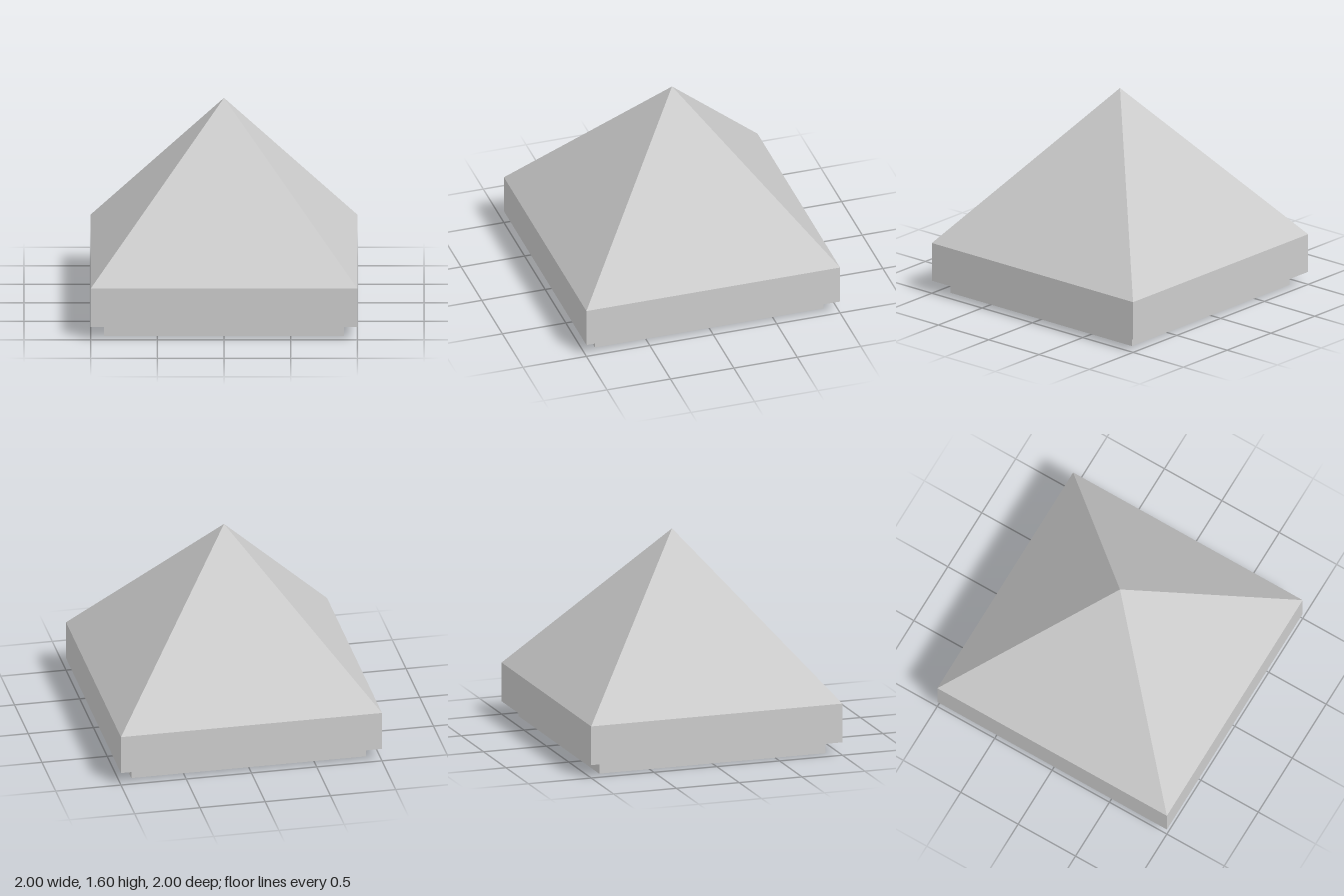
import * as THREE from 'three';

// Square ring surface swept from a [half-width, height] profile, with hard edges.
// Profiles run upward on outer faces and downward on inner faces.
function squareSweep(name, profile, material) {
  const points = profile.map(([half, y]) => new THREE.Vector2(half * Math.SQRT2, y));
  const geometry = new THREE.LatheGeometry(points, 4, Math.PI / 4).toNonIndexed();
  geometry.computeVertexNormals();
  const mesh = new THREE.Mesh(geometry, material);
  mesh.name = name;
  return mesh;
}

export function createModel() {
  const stone = new THREE.MeshStandardMaterial({ color: 0xcccccc });
  stone.name = 'light grey stone';

  const cap = new THREE.Group();
  cap.name = 'pyramidCap';
  cap.add(
    // Sloping top
    squareSweep('pyramidTop', [[1, 0.4], [0, 1.6]], stone),
    // Overhanging band with its underside ledge
    squareSweep('overhangBand', [[0.9, 0.1], [1, 0.1], [1, 0.4]], stone),
    // Recessed foot with its flat bottom rim
    squareSweep('foot', [[0.6, 0], [0.9, 0], [0.9, 0.1]], stone),
    // Hollow underneath: straight walls and a pyramid ceiling
    squareSweep('cavityCeiling', [[0, 1.2], [0.6, 0.6]], stone),
    squareSweep('cavityWalls', [[0.6, 0.6], [0.6, 0]], stone),
  );
  return cap;
}
